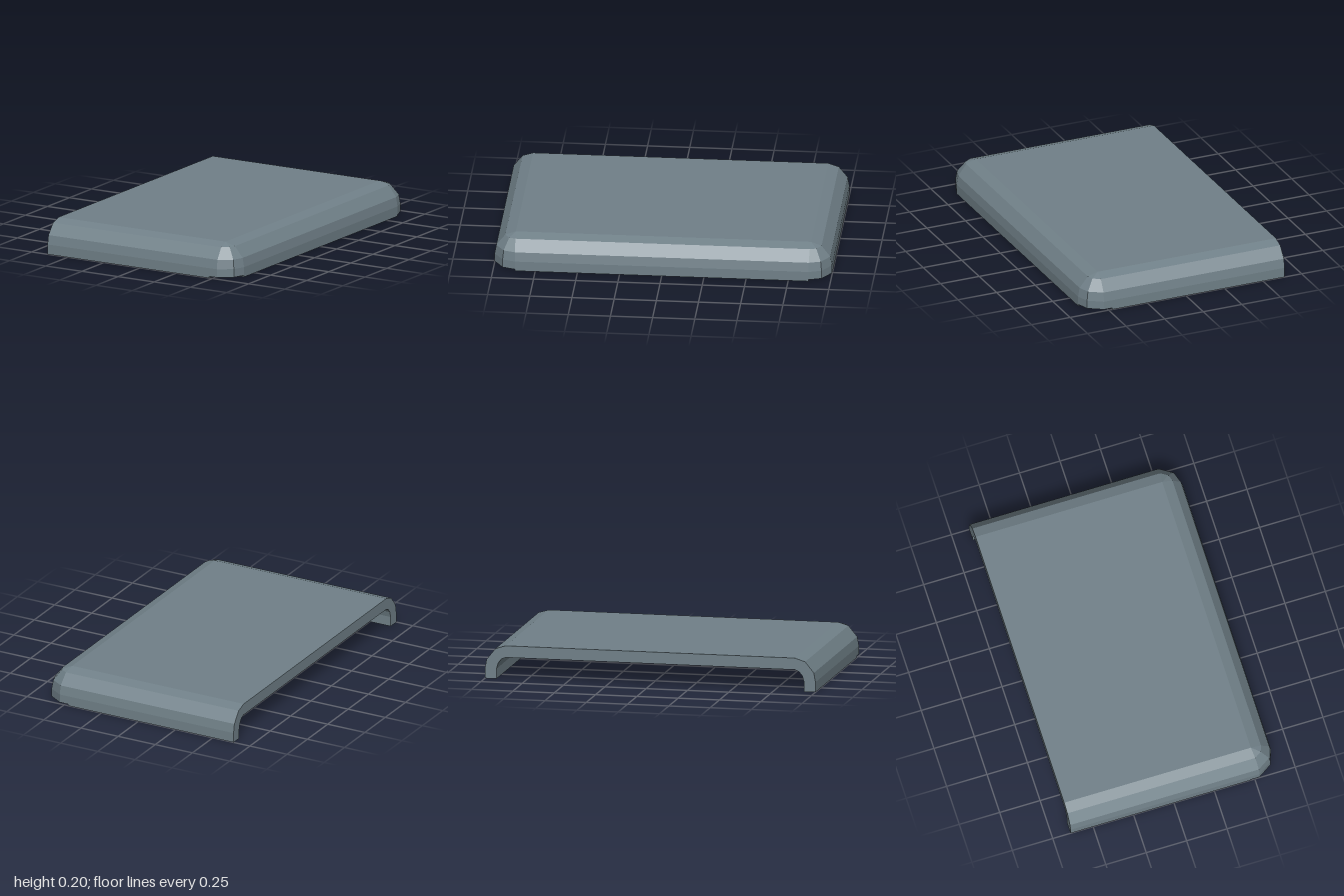
import * as THREE from 'three';

const material = new THREE.MeshStandardMaterial({ color: 0x708088, flatShading: true });

// Rim cross-section: [fraction from outer edge to top panel, height]
const OUTER = [[0, 0], [0, 0.06], [0.08, 0.115], [0.5, 0.18], [1, 0.2]];
const INNER = [[0.56, 0], [0.56, 0.06], [0.64, 0.095], [0.8, 0.12], [1, 0.13]];
const PANEL = { x0: -0.64, x1: 0.515, z: 0.875 };

// Sweeps the cross-section over stations [outerX, outerZ, innerX, innerZ]
function rim(name, stations, bottom = 0) {
  const loop = [...OUTER, ...[...INNER].reverse()];
  const n = loop.length;
  const rings = stations.map(([ox, oz, ix, iz]) =>
    loop.map(([t, y]) => [ox + (ix - ox) * t, Math.max(y, bottom), oz + (iz - oz) * t]));
  const pos = [];
  const quad = (a, b, c, d) => pos.push(...a, ...b, ...c, ...a, ...c, ...d);
  for (let i = 0; i < rings.length - 1; i++) {
    for (let j = 0; j < n; j++) {
      const k = (j + 1) % n;
      quad(rings[i][j], rings[i + 1][j], rings[i + 1][k], rings[i][k]);
    }
  }
  // End caps, strip by strip between outer and inner skins
  const first = rings[0], last = rings[rings.length - 1];
  for (let k = 0; k < OUTER.length - 1; k++) {
    quad(first[k], first[k + 1], first[n - 2 - k], first[n - 1 - k]);
    quad(last[k], last[n - 1 - k], last[n - 2 - k], last[k + 1]);
  }
  const geo = new THREE.BufferGeometry();
  geo.setAttribute('position', new THREE.Float32BufferAttribute(pos, 3));
  geo.computeVertexNormals();
  const mesh = new THREE.Mesh(geo, material);
  mesh.name = name;
  return mesh;
}

export function createModel() {
  const group = new THREE.Group();
  group.name = 'openShellCover';
  const { x0, x1, z } = PANEL;

  // Flat top panel
  const panel = new THREE.Mesh(new THREE.BoxGeometry(x1 - x0, 0.07, 2 * z), material);
  panel.position.set((x0 + x1) / 2, 0.165, 0);
  panel.name = 'topPanel';
  group.add(panel);

  // Front half of the rim; the back half mirrors it with reversed travel
  const corner = [[0.475, 1], [0.53, 1], [0.615, 0.945], [0.64, 0.87]]
    .map(([x, oz]) => [x, oz, x1, z]);
  const wall = [[x0, 1, x0, z], corner[0]];
  const mirror = (s) => s.map(([a, b, c, d]) => [a, -b, c, -d]).reverse();

  group.add(rim('frontWall', wall), rim('backWall', mirror(wall)));
  group.add(rim('frontCorner', corner, 0.01), rim('backCorner', mirror(corner), 0.01));

  // Long closed side wall
  const end = corner[3];
  group.add(rim('leftWall', [end, mirror([end])[0]]));
  return group;
}
